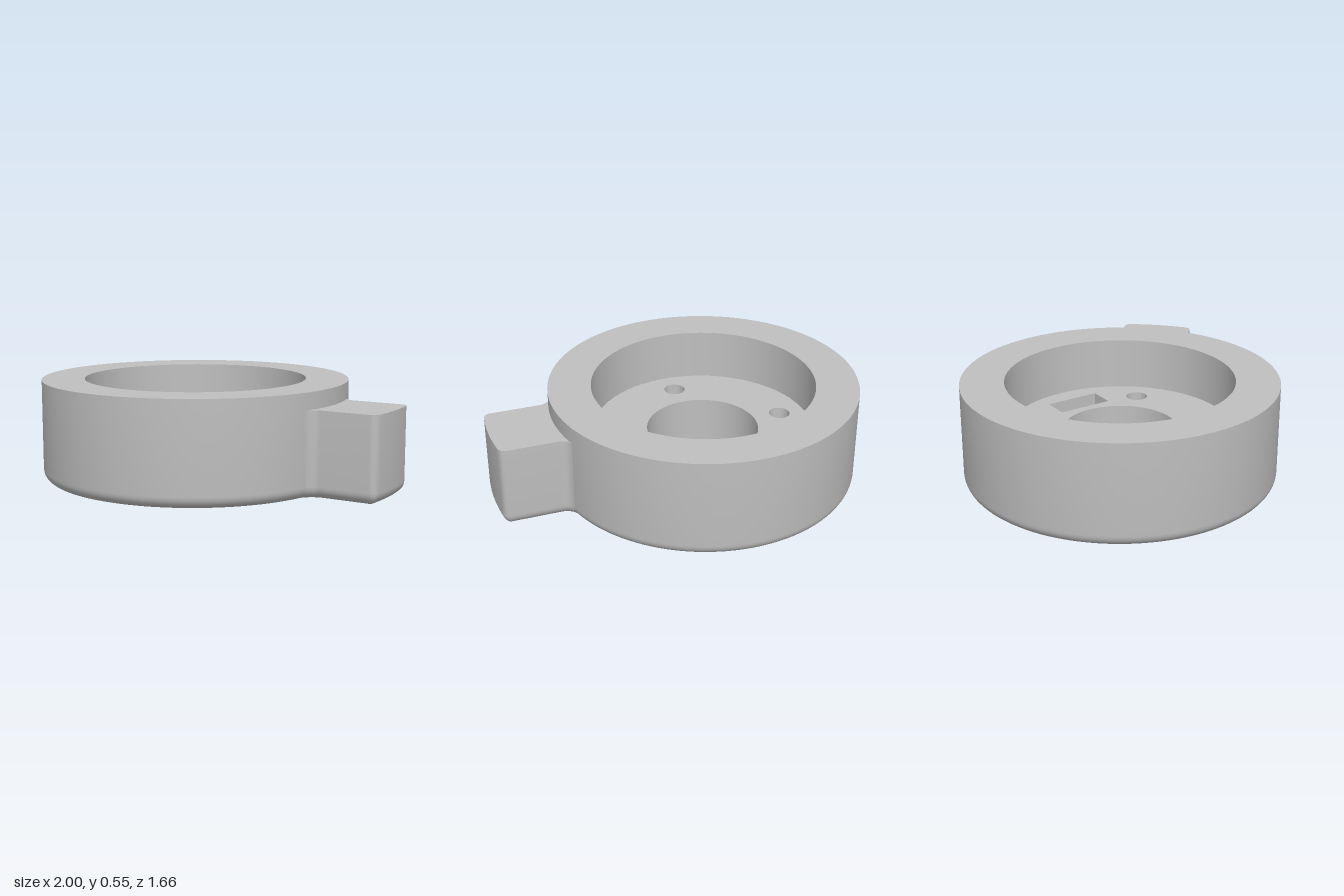
import * as THREE from 'three';
import { toCreasedNormals } from 'three/addons/utils/BufferGeometryUtils.js';

const CX = -0.17;            // ring axis
const R = 0.83, H = 0.545;   // ring outside
const RECESS = 0.6, FLOOR = 0.265, BORE = 0.303;
const EDGE = 0.065;          // rounding of the lower edge
const HOLE_AT = 0.457, HOLE = 0.058, SINK = 0.105, SINK_DEPTH = 0.09;
const TAB_H = 0.455, TAB_W = 0.2, TAB_END = 1.17, ROOT = 0.06, CORNER = 0.04;
const POCKET = { x: 0.297, z: -0.297, length: 0.3, width: 0.14, depth: 0.1 };

const holeAngles = [0, 1, 2, 3].map(i => i * Math.PI / 2);

// Rounded lower edge as [inset, height] steps from the bottom up
const edgeSteps = Array.from({ length: 9 }, (_, i) => {
  const t = (1 - i / 8) * Math.PI / 2;
  return [EDGE * (1 - Math.cos(t)), EDGE * (1 - Math.sin(t))];
});

function lathe(points, segments) {
  const g = new THREE.LatheGeometry(points.map(p => new THREE.Vector2(...p)), segments);
  return toCreasedNormals(g, 0.6);
}

function circle(x, y, r) {
  return new THREE.Path().absarc(x, y, r, 0, Math.PI * 2, true);
}

// Flat disc with a central bore and four bolt holes
function disc(radius, holeRadius, extraHoles = []) {
  const s = new THREE.Shape().absarc(0, 0, radius, 0, Math.PI * 2, false);
  s.holes.push(circle(0, 0, BORE), ...extraHoles);
  for (const a of holeAngles)
    s.holes.push(circle(HOLE_AT * Math.cos(a), HOLE_AT * Math.sin(a), holeRadius));
  return new THREE.ShapeGeometry(s, 48);
}

// Tab outline, inset by d: root fillet, side, rounded corner, curved end, mirrored
function tabOutline(d) {
  const half = [];
  const fz = TAB_W + ROOT, fx = Math.sqrt((R + ROOT) ** 2 - fz * fz), fr = ROOT + d;
  const a0 = Math.atan2(-fz, -fx), a1 = -Math.PI / 2;
  for (let i = 0; i <= 10; i++) {
    const a = a0 + (a1 - a0) * i / 10;
    half.push([fx + fr * Math.cos(a), fz + fr * Math.sin(a)]);
  }
  const c = Math.max(CORNER - d, 0.006), end = TAB_END - d;
  const cz = TAB_W - d - c, cx = Math.sqrt((end - c) ** 2 - cz * cz);
  const b1 = Math.atan2(cz, cx);
  for (let i = 0; i <= 8; i++) {
    const a = Math.PI / 2 + (b1 - Math.PI / 2) * i / 8;
    half.push([cx + c * Math.cos(a), cz + c * Math.sin(a)]);
  }
  for (let i = 1; i <= 4; i++) {
    const a = b1 * (1 - i / 5);
    half.push([end * Math.cos(a), end * Math.sin(a)]);
  }
  return [...half, [end, 0], ...half.map(([x, z]) => [x, -z]).reverse()];
}

function tabGeometry() {
  const levels = [...edgeSteps, [0, TAB_H]];
  const loops = levels.map(([d]) => tabOutline(d));
  const n = loops[0].length, pos = [], index = [];
  loops.forEach((loop, k) => loop.forEach(([x, z]) => pos.push(x, levels[k][1], z)));
  for (let k = 0; k < loops.length - 1; k++)
    for (let i = 0; i < n; i++) {
      const j = (i + 1) % n, a = k * n + i, b = k * n + j;
      index.push(a, b, b + n, a, b + n, a + n);
    }
  // End caps
  const cap = (k, up) => {
    const pts = loops[k].map(([x, z]) => new THREE.Vector2(x, -z));
    for (const t of THREE.ShapeUtils.triangulateShape(pts, [])) {
      const [a, b, c] = t.map(i => pts[i]);
      const ccw = (b.x - a.x) * (c.y - a.y) - (b.y - a.y) * (c.x - a.x) > 0;
      const f = t.map(i => k * n + i);
      index.push(...(ccw === up ? f : f.reverse()));
    }
  };
  cap(0, false);
  cap(loops.length - 1, true);
  const g = new THREE.BufferGeometry();
  g.setAttribute('position', new THREE.Float32BufferAttribute(pos, 3));
  g.setIndex(index);
  return toCreasedNormals(g, 0.6);
}

// Inward-facing box without its lid
function pocketGeometry() {
  const g = new THREE.BoxGeometry(POCKET.length, POCKET.depth, POCKET.width);
  const idx = Array.from(g.index.array).filter((_, i) => i < 12 || i >= 18);
  g.setIndex(idx.reverse());
  g.clearGroups();
  g.computeVertexNormals();
  return g;
}

export function createModel() {
  const model = new THREE.Group();
  model.name = 'flangedRing';
  const body = new THREE.Group();
  body.name = 'body';
  body.position.x = CX;
  model.add(body);

  const grey = new THREE.MeshStandardMaterial({ color: 0xbfbfbf });
  grey.name = 'plainGrey';

  const add = (name, geometry, x = 0, y = 0, z = 0) => {
    const m = new THREE.Mesh(geometry, grey);
    m.name = name;
    m.position.set(x, y, z);
    body.add(m);
    return m;
  };

  // Outer wall, rim and recess wall
  add('ringWall', lathe([
    ...edgeSteps.map(([d, y]) => [R - d, y]),
    [R, H], [RECESS, H], [RECESS, FLOOR],
  ], 128));
  add('boreWall', lathe([[BORE, FLOOR], [BORE, 0]], 96));

  // Recess floor with the pocket opening
  const u = POCKET.length / 2 * Math.SQRT1_2, v = POCKET.width / 2 * Math.SQRT1_2;
  const px = POCKET.x, py = -POCKET.z;
  const opening = new THREE.Path([
    [px + u + v, py - u + v], [px + u - v, py - u - v],
    [px - u - v, py + u - v], [px - u + v, py + u + v],
  ].map(p => new THREE.Vector2(...p)));
  add('recessFloor', disc(RECESS, HOLE, [opening]).rotateX(-Math.PI / 2), 0, FLOOR, 0);
  add('underside', disc(R - EDGE, SINK).rotateX(Math.PI / 2));
  add('floorPocket', pocketGeometry(), POCKET.x, FLOOR - POCKET.depth / 2, POCKET.z)
    .rotation.y = -Math.PI / 4;

  // Bolt holes, widened from below
  const boltHole = lathe([[HOLE, FLOOR], [HOLE, SINK_DEPTH], [SINK, SINK_DEPTH], [SINK, 0]], 48);
  for (const a of holeAngles)
    add('boltHole', boltHole, HOLE_AT * Math.cos(a), 0, HOLE_AT * Math.sin(a));

  // Side tab
  add('sideTab', tabGeometry());
  return model;
}
